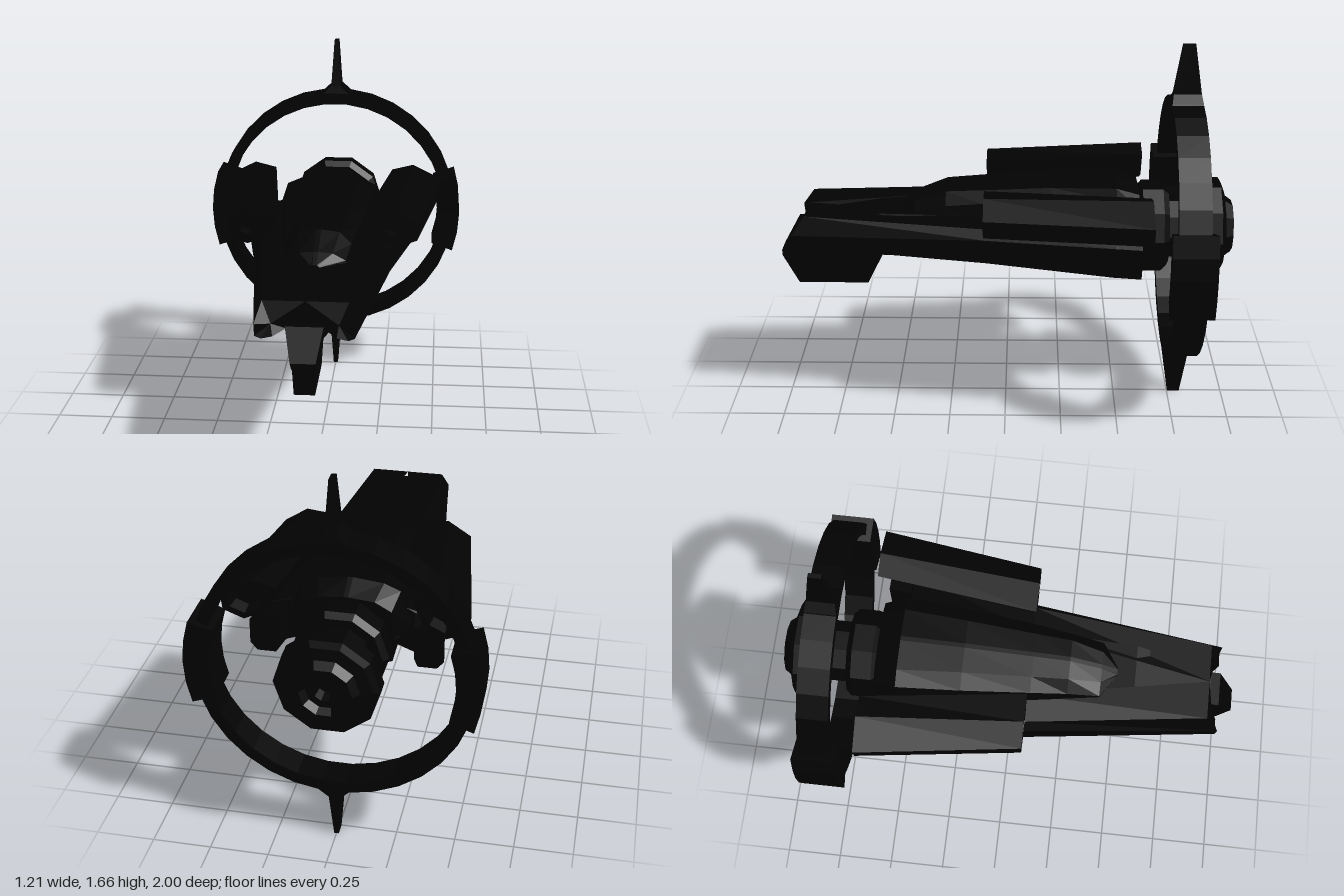
import * as THREE from 'three';

const material = new THREE.MeshStandardMaterial({ color: 0x020202, flatShading: true, side: THREE.DoubleSide });
const AXIS_Y = 0.83, RING_Z = -0.78;

// Skins a row of equal-length rings of [x, y, z]; corners run counter-clockwise seen from the last ring.
function loft(rings) {
  const pos = [];
  const tri = (a, b, c) => pos.push(...a, ...b, ...c);
  const n = rings[0].length;
  for (let i = 0; i < rings.length - 1; i++) {
    for (let j = 0; j < n; j++) {
      const k = (j + 1) % n, a = rings[i], b = rings[i + 1];
      tri(a[j], a[k], b[k]);
      tri(a[j], b[k], b[j]);
    }
  }
  const cap = (ring, flip) => {
    const c = [0, 1, 2].map(d => ring.reduce((s, p) => s + p[d], 0) / n);
    for (let j = 0; j < n; j++) {
      const p = ring[j], q = ring[(j + 1) % n];
      flip ? tri(c, q, p) : tri(c, p, q);
    }
  };
  cap(rings[0], true);
  cap(rings[rings.length - 1], false);
  const g = new THREE.BufferGeometry();
  g.setAttribute('position', new THREE.Float32BufferAttribute(pos, 3));
  g.computeVertexNormals();
  return g;
}

// Half outline (bottom to top, x > 0) mirrored into a full ring at depth z
const sym = (z, half) => [
  ...half.map(([x, y]) => [x, y, z]),
  ...half.slice().reverse().map(([x, y]) => [-x, y, z]),
];
const at = (z, pts) => pts.map(([x, y]) => [x, y, z]);
const mirror = rings => rings.map(r => r.map(([x, y, z]) => [-x, y, z]).reverse());
// Moves a ring towards its centre and along z
const inset = (ring, k, dz) => {
  const c = [0, 1].map(d => ring.reduce((s, p) => s + p[d], 0) / ring.length);
  return ring.map(([x, y, z]) => [c[0] + (x - c[0]) * k, c[1] + (y - c[1]) * k, z + dz]);
};

export function createModel() {
  const model = new THREE.Group();
  const add = (name, geometry) => {
    const mesh = new THREE.Mesh(geometry, material);
    mesh.name = name;
    model.add(mesh);
    return mesh;
  };

  // Central hull with a faceted keel
  add('centralHull', loft([
    sym(-0.58, [[0.08, 0.70], [0.17, 0.76], [0.20, 0.85], [0.18, 0.92]]),
    sym(-0.55, [[0.08, 0.69], [0.19, 0.73], [0.22, 0.85], [0.19, 0.93]]),
    sym(0.55, [[0.05, 0.70], [0.13, 0.76], [0.16, 0.85], [0.13, 0.93]]),
    sym(0.885, [[0.04, 0.72], [0.07, 0.78], [0.075, 0.84], [0.07, 0.90]]),
  ]));

  // Raised canopy
  add('canopy', loft([
    sym(-0.58, [[0.20, 0.86], [0.19, 0.98], [0.12, 1.02], [0.01, 1.03]]),
    sym(-0.48, [[0.26, 0.87], [0.21, 1.025], [0.14, 1.055], [0.01, 1.07]]),
    sym(-0.20, [[0.21, 0.89], [0.19, 1.01], [0.12, 1.05], [0.01, 1.06]]),
    sym(0.10, [[0.18, 0.90], [0.16, 0.99], [0.10, 1.03], [0.01, 1.04]]),
    sym(0.26, [[0.155, 0.91], [0.14, 0.97], [0.09, 1.02], [0.01, 1.03]]),
    sym(0.40, [[0.13, 0.92], [0.125, 0.94], [0.07, 0.97], [0.01, 0.975]]),
    sym(0.47, [[0.02, 0.92], [0.02, 0.93], [0.015, 0.935], [0.01, 0.94]]),
  ]));

  // Chin block under the bow
  add('nose', loft([
    sym(0.55, [[0.045, 0.70], [0.07, 0.76], [0.08, 0.84]]),
    sym(0.62, [[0.042, 0.56], [0.05, 0.69], [0.08, 0.845]]),
    sym(0.93, [[0.042, 0.56], [0.05, 0.69], [0.075, 0.845]]),
    sym(1.00, [[0.04, 0.69], [0.045, 0.70], [0.05, 0.72]]),
  ]));

  // Long tapering side hulls: free-standing tails behind, slanted prongs in front
  const sideHull = [
    at(-0.58, [[0.285, 0.77], [0.30, 0.735], [0.38, 0.735], [0.41, 0.77], [0.41, 0.88], [0.385, 0.91], [0.285, 0.92]]),
    at(-0.48, [[0.27, 0.77], [0.285, 0.735], [0.365, 0.735], [0.395, 0.77], [0.395, 0.88], [0.37, 0.91], [0.27, 0.93]]),
    at(-0.47, [[0.18, 0.77], [0.28, 0.735], [0.364, 0.735], [0.394, 0.77], [0.394, 0.88], [0.369, 0.91], [0.23, 0.945]]),
    at(0.08, [[0.12, 0.78], [0.20, 0.76], [0.275, 0.76], [0.30, 0.79], [0.30, 0.875], [0.27, 0.915], [0.15, 0.935]]),
    [[0.075, 0.82, 0.885], [0.125, 0.80, 0.925], [0.17, 0.79, 0.925], [0.195, 0.80, 0.925],
      [0.197, 0.85, 0.93], [0.17, 0.93, 0.875], [0, 0.93, 0.875]],
  ];

  // Hollow-mouthed pods lying on the side hulls
  const podBack = at(-0.62, [[0.33, 0.95], [0.42, 0.905], [0.51, 0.94], [0.52, 1.02], [0.38, 1.09], [0.28, 1.065]]);
  const podFront = at(0.09, [[0.235, 0.94], [0.33, 0.905], [0.415, 0.935], [0.42, 1.01], [0.32, 1.075], [0.19, 1.06]]);
  const pod = [
    inset(podBack, 0.6, 0.06), inset(podBack, 0.7, 0), podBack,
    podFront, inset(podFront, 0.5, 0), inset(podFront, 0.4, -0.05),
  ];
  add('leftSideHull', loft(sideHull));
  add('rightSideHull', loft(mirror(sideHull)));
  add('leftPod', loft(pod));
  add('rightPod', loft(mirror(pod)));

  // Turned parts spin around the z axis at the engine height
  const turned = (name, profile, sides, z) => {
    const pts = profile.map(([r, d]) => new THREE.Vector2(r, d));
    const g = new THREE.LatheGeometry(pts, sides, Math.PI / sides);
    g.rotateX(Math.PI / 2);
    add(name, g).position.set(0, AXIS_Y, z);
  };
  turned('engine', [
    [0, -0.92], [0.04, -0.92], [0.05, -0.97], [0.08, -0.97], [0.10, -1.0], [0.115, -1.0], [0.14, -0.965],
    [0.19, -0.955], [0.217, -0.94], [0.217, -0.87], [0.19, -0.85], [0.14, -0.85], [0.14, -0.715],
    [0.18, -0.715], [0.203, -0.69], [0.203, -0.60], [0.18, -0.58], [0, -0.56],
  ], 10, 0);
  turned('ring', [[0.53, -0.067], [0.58, -0.067], [0.58, 0.067], [0.53, 0.067], [0.53, -0.067]], 32, RING_Z);

  // Thick curved blocks on both sides of the ring
  const padArc = [];
  for (let i = 0; i <= 4; i++) {
    const t = (i / 4 - 0.5) * 0.63;
    const corner = (r, z) => [r * Math.cos(t), r * Math.sin(t), z];
    padArc.push([corner(0.50, -0.09), corner(0.50, 0.09), corner(0.607, 0.095), corner(0.607, -0.095)]);
  }
  // Blade spikes above and below the ring
  const blade = [[0.55, 0.085, 0.067], [0.58, 0.06, 0.067], [0.615, 0.023, 0.06], [0.83, 0.01, 0.027]]
    .map(([y, x, z]) => [[-x, y, -z], [-x, y, z], [x, y, z], [x, y, -z]]);
  [['left', 'top', 0], ['right', 'bottom', Math.PI]].forEach(([side, end, angle]) => {
    for (const [name, rings] of [[side + 'RingBlock', padArc], [end + 'Spike', blade]]) {
      const mesh = add(name, loft(rings));
      mesh.position.set(0, AXIS_Y, RING_Z);
      mesh.rotation.z = angle;
    }
  });

  return model;
}
